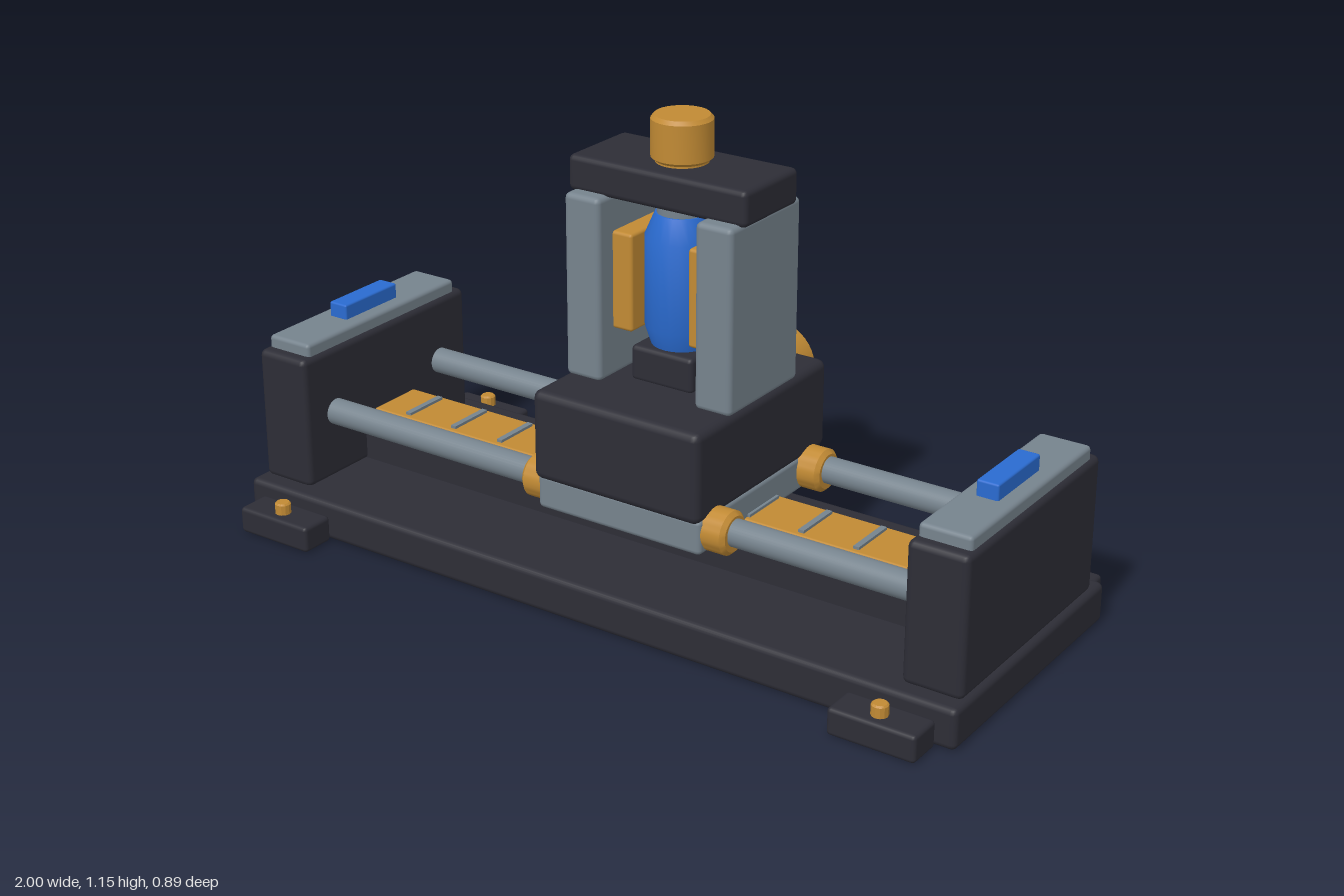
import * as THREE from 'three';
import { toCreasedNormals } from 'three/addons/utils/BufferGeometryUtils.js';
import { RoundedBoxGeometry } from 'three/addons/geometries/RoundedBoxGeometry.js';

const material = (name, color) => {
  const m = new THREE.MeshStandardMaterial({ color });
  m.name = name;
  return m;
};

export function createModel() {
  const model = new THREE.Group();
  model.name = 'linearStage';
  const dark = material('charcoal', 0x2d2d36);
  const steel = material('steel grey', 0x76838d);
  const brass = material('brass', 0xc18a34);
  const blue = material('blue', 0x2a6bd0);

  const add = (name, geometry, mat, x, y, z) => {
    const mesh = new THREE.Mesh(geometry, mat);
    mesh.name = name;
    mesh.position.set(x, y, z);
    model.add(mesh);
    return mesh;
  };

  // Bevelled box given by its centre in x and z, its bottom and its top
  const block = (name, mat, x, z, w, d, y0, y1, bevel = 0.01) =>
    add(name, new RoundedBoxGeometry(w, y1 - y0, d, 2, bevel), mat, x, (y0 + y1) / 2, z);

  // Turned part about y from [radius, height] pairs
  const turned = (profile, sides = 32) => toCreasedNormals(
    new THREE.LatheGeometry(profile.map(([r, y]) => new THREE.Vector2(r, y)), sides), 0.5);

  // Cylinder with chamfered rims, centred on its middle
  const drum = (r, h, c, sides) => turned([
    [0, -h / 2], [r - c, -h / 2], [r, -h / 2 + c],
    [r, h / 2 - c], [r - c, h / 2], [0, h / 2]], sides);

  const cx = 0.063; // carriage centre

  // Base plate, bed and scale
  block('base', dark, 0, 0, 2, 0.71, 0, 0.1, 0.015);
  block('bed', dark, 0, 0, 1.7, 0.19, 0.09, 0.215, 0.01);
  block('scaleStrip', brass, 0, 0, 1.65, 0.15, 0.21, 0.235, 0.005);
  for (let i = -5; i <= 5; i++) {
    add('scaleTick', new THREE.BoxGeometry(0.015, 0.008, 0.125), steel, i * 0.145, 0.238, 0);
  }

  for (const sx of [-1, 1]) {
    // Feet with screws
    for (const sz of [-1, 1]) {
      block('foot', dark, sx * 0.846, sz * 0.4, 0.216, 0.09, 0, 0.067, 0.01);
      add('footScrew', drum(0.02, 0.05, 0.004, 12), brass, sx * 0.846, 0.071, sz * 0.405);
    }
    // End supports with caps and blue markers
    block('endBlock', dark, sx * 0.914, 0, 0.148, 0.62, 0.095, 0.436, 0.016);
    block('endCap', steel, sx * 0.914, 0, 0.128, 0.56, 0.425, 0.467, 0.01);
    block('endMarker', blue, sx * 0.914, 0, 0.054, 0.194, 0.46, 0.505, 0.005);
  }

  // Guide rods and the collars beside the carriage
  for (const sz of [-1, 1]) {
    add('guideRod', new THREE.CylinderGeometry(0.033, 0.033, 1.72, 32), steel, 0, 0.268, sz * 0.202)
      .rotation.z = Math.PI / 2;
    for (const sx of [-1, 1]) {
      add('collar', drum(0.053, 0.09, 0.01), brass, cx + sx * 0.24, 0.264, sz * 0.202)
        .rotation.z = Math.PI / 2;
    }
  }

  // Carriage
  block('carriageSlide', steel, cx, 0, 0.455, 0.52, 0.213, 0.3, 0.012);
  block('carriage', dark, cx, 0, 0.46, 0.55, 0.292, 0.515, 0.02);

  // Rear adjusting knob
  add('knobShaft', new THREE.CylinderGeometry(0.038, 0.038, 0.16, 24), steel, cx, 0.403, -0.31)
    .rotation.x = Math.PI / 2;
  add('rearKnob', drum(0.1, 0.087, 0.01, 40), brass, cx, 0.404, -0.4015)
    .rotation.x = Math.PI / 2;

  // Tower: two columns with brass pads, and a top bridge
  for (const sx of [-1, 1]) {
    block('column', steel, cx + sx * 0.179, 0, 0.098, 0.288, 0.51, 0.957, 0.014);
    block('pad', brass, cx + sx * 0.106, 0, 0.058, 0.18, 0.63, 0.868, 0.008);
  }
  block('bridge', dark, cx, 0, 0.482, 0.218, 0.95, 1.036, 0.014);

  // Spindle: socket, blue body, neck and top knob
  block('socket', dark, cx, 0, 0.17, 0.17, 0.51, 0.598, 0.012);
  add('spindleBody', turned([
    [0, 0.595], [0.07, 0.595], [0.086, 0.645], [0.086, 0.86], [0.062, 0.916], [0, 0.916]], 24),
  blue, cx, 0, 0);
  add('spindleNeck', new THREE.CylinderGeometry(0.058, 0.058, 0.06, 24), steel, cx, 0.93, 0);
  add('topKnob', turned([
    [0, 1.03], [0.062, 1.03], [0.062, 1.04], [0.072, 1.048],
    [0.072, 1.137], [0.064, 1.146], [0, 1.146]]), brass, cx, 0, 0);

  return model;
}
